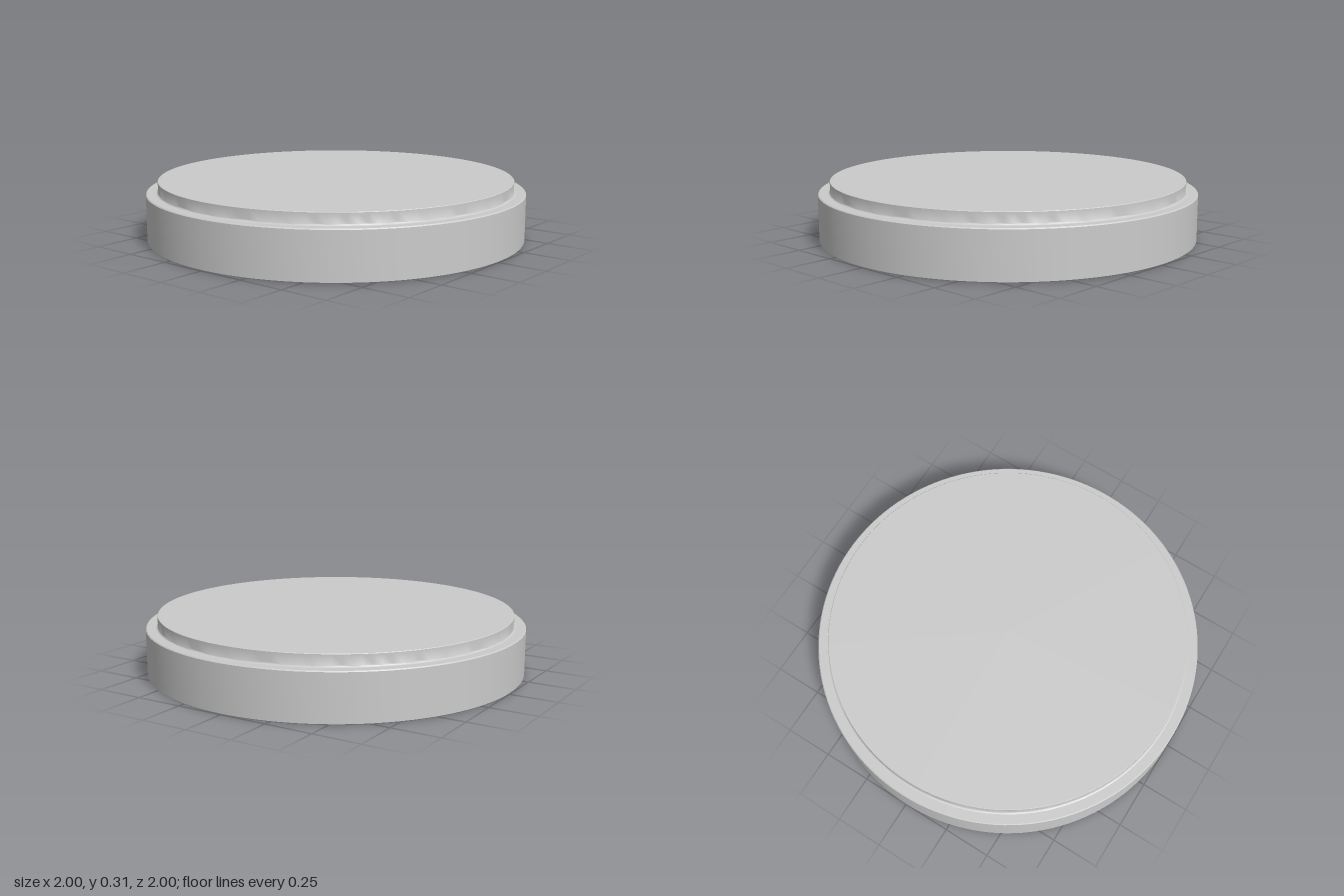
import * as THREE from 'three';
import { toCreasedNormals } from 'three/addons/utils/BufferGeometryUtils.js';

const SEGMENTS = 128;
const material = new THREE.MeshStandardMaterial({ color: 0xcccccc });

// Revolve a profile of [radius, height] points, keeping hard edges crisp
function turned(name, profile) {
  const points = profile.map(([r, y]) => new THREE.Vector2(r, y));
  const geometry = toCreasedNormals(new THREE.LatheGeometry(points, SEGMENTS), 0.6);
  const mesh = new THREE.Mesh(geometry, material);
  mesh.name = name;
  return mesh;
}

export function createModel() {
  const group = new THREE.Group();
  group.name = 'steppedDisc';

  const baseR = 1, baseH = 0.25;
  const topR = 0.9375, topH = 0.3125;
  const bevel = 0.005, fillet = 0.01;

  // Wide base: flat underside, straight wall, narrow ledge
  group.add(turned('base', [
    [0, 0],
    [baseR - bevel, 0],
    [baseR, bevel],
    [baseR, baseH - bevel],
    [baseR - bevel, baseH],
    [topR + fillet, baseH],
  ]));

  // Raised plate, with a small concave fillet where it meets the ledge
  const curve = [0, 1, 2, 3, 4].map((i) => {
    const a = (i / 4) * Math.PI / 2;
    return [topR + fillet * (1 - Math.sin(a)), baseH + fillet * (1 - Math.cos(a))];
  });
  group.add(turned('raisedPlate', [
    ...curve,
    [topR, topH - bevel / 2],
    [topR - bevel / 2, topH],
    [0, topH],
  ]));

  return group;
}
